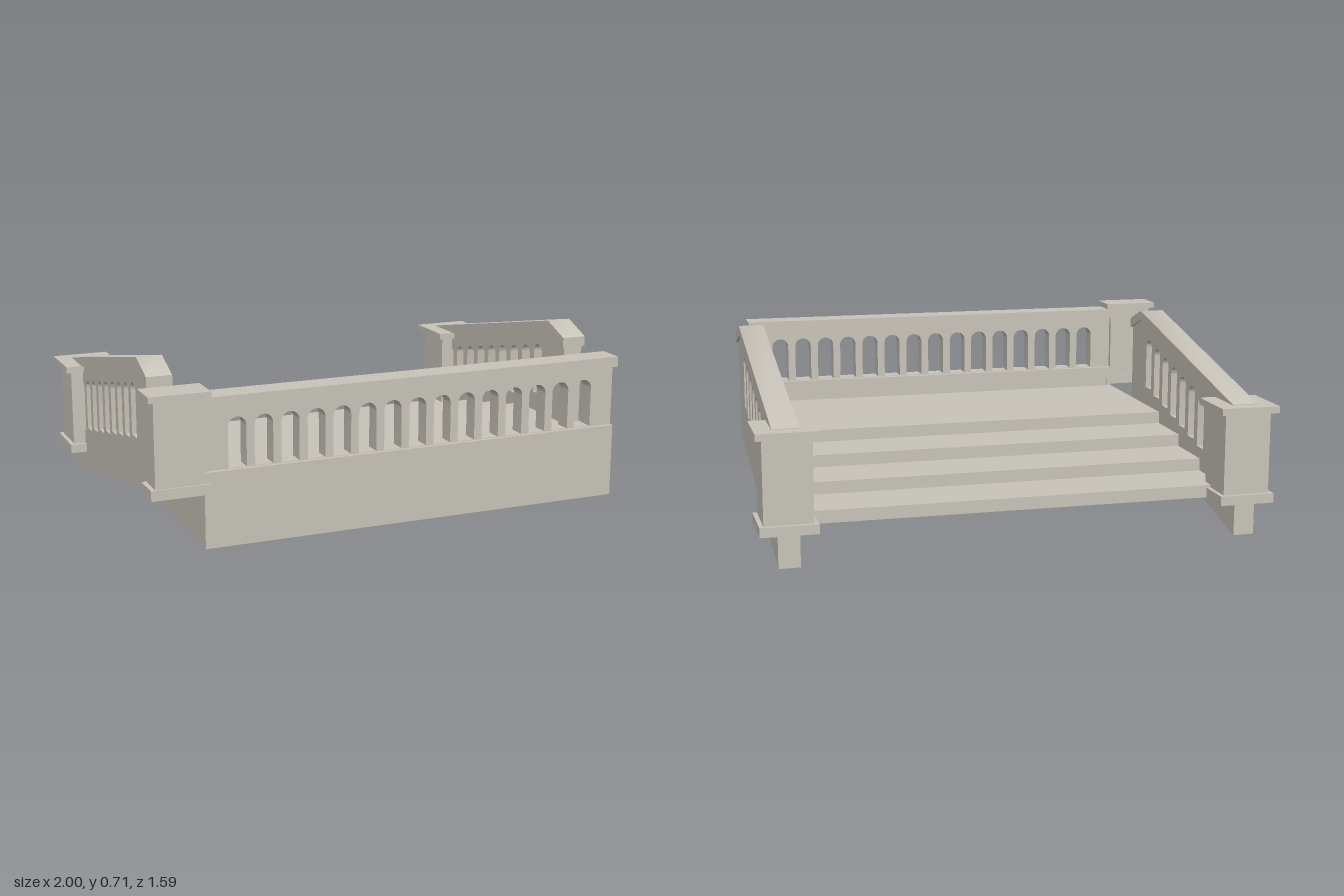
import * as THREE from 'three';
import { toCreasedNormals } from 'three/addons/utils/BufferGeometryUtils.js';

const stone = new THREE.MeshStandardMaterial({ color: 0xc8c4ba });
stone.name = 'stone';

const CENTRE = 0.018; // x of the stair's own centre line

function mesh(name, geometry) {
  const m = new THREE.Mesh(geometry, stone);
  m.name = name;
  return m;
}

// Box given by its extents on each axis
function box(name, [x0, x1], [y0, y1], [z0, z1]) {
  const m = mesh(name, new THREE.BoxGeometry(x1 - x0, y1 - y0, z1 - z0));
  m.position.set((x0 + x1) / 2, (y0 + y1) / 2, (z0 + z1) / 2);
  return m;
}

function polygon(points) {
  return new THREE.Shape(points.map(([a, b]) => new THREE.Vector2(a, b)));
}

// Round-headed opening
function arch(centre, bottom, top, width) {
  const r = width / 2;
  const path = new THREE.Path();
  path.moveTo(centre - r, bottom);
  path.lineTo(centre + r, bottom);
  path.lineTo(centre + r, top - r);
  path.absarc(centre, top - r, r, 0, Math.PI, false);
  path.lineTo(centre - r, bottom);
  return path;
}

function extrude(shape, depth) {
  const g = new THREE.ExtrudeGeometry(shape, { depth, bevelEnabled: false, curveSegments: 10 });
  g.translate(0, 0, -depth / 2);
  return toCreasedNormals(g, 0.6);
}

// Extrude a (z, y) profile along x
function extrudeAcross(shape, depth) {
  return extrude(shape, depth).rotateY(-Math.PI / 2);
}

// Square pillar with plinth and cap; each level is [y0, y1, halfX, halfZ]
function pillar(name, x, z, levels) {
  const group = new THREE.Group();
  group.name = name;
  ['plinth', 'shaft', 'cap'].forEach((part, i) => {
    const [y0, y1, hx, hz] = levels[i];
    group.add(box(part, [x - hx, x + hx], [y0, y1], [z - hz, z + hz]));
  });
  return group;
}

export function createModel() {
  const model = new THREE.Group();
  model.name = 'terraceStair';

  // Landing with steps going down to the back
  const base = 0.128, top = 0.32, rise = (top - base) / 4;
  const profile = [[0.777, base], [0.777, top]];
  for (let i = 0; i < 4; i++) {
    const z = 0.05 - 0.23 * i;
    profile.push([z, top - rise * i], [z, top - rise * (i + 1)]);
  }
  const steps = mesh('steps', extrudeAcross(polygon(profile), 1.64));
  steps.position.x = CENTRE;
  model.add(steps);

  // Front balustrade
  const front = new THREE.Group();
  front.name = 'frontBalustrade';
  front.add(box('curb', [-0.802, 0.838], [top, 0.405], [0.676, 0.777]));
  const panel = polygon([[-0.802, 0.405], [0.838, 0.405], [0.838, 0.633], [-0.802, 0.633]]);
  for (let i = 0; i < 15; i++) panel.holes.push(arch(-0.674 + 0.099 * i, 0.407, 0.59, 0.068));
  const arcade = mesh('arcade', extrude(panel, 0.064));
  arcade.position.z = 0.728;
  front.add(arcade);
  front.add(box('handrail', [-0.802, 0.85], [0.633, 0.672], [0.674, 0.777]));
  front.add(pillar('frontPillar', -0.888, 0.728, [
    [0.328, 0.366, 0.108, 0.058],
    [0.366, 0.674, 0.091, 0.051],
    [0.674, 0.697, 0.112, 0.066],
  ]));
  model.add(front);

  // Sloping side walls with arches, rails and back pillars
  const wall = polygon([
    [0.398, 0.25], [0.398, 0.635], [0.28, 0.681], [-0.755, 0.463], [-0.755, 0.005],
  ]);
  for (let i = 0; i < 9; i++) {
    wall.holes.push(arch(0.193 - 0.099 * i, 0.395 - 0.0215 * i, 0.602 - 0.0215 * i, 0.065));
  }
  const rail = polygon([
    [0.405, 0.632], [0.405, 0.671], [0.28, 0.719], [-0.732, 0.505], [-0.732, 0.466], [0.28, 0.68],
  ]);
  const wallGeometry = extrudeAcross(wall, 0.08);
  const railGeometry = extrudeAcross(rail, 0.099);

  for (const [side, sign] of [['left', 1], ['right', -1]]) {
    const x = CENTRE + sign * 0.863;
    const group = new THREE.Group();
    group.name = side + 'Balustrade';
    const sideWall = mesh('sideWall', wallGeometry);
    const sideRail = mesh('sideRail', railGeometry);
    sideWall.position.x = sideRail.position.x = x;
    group.add(sideWall, sideRail);
    group.add(pillar(side + 'BackPillar', x, -0.676, [
      [0.13, 0.166, 0.106, 0.106],
      [0.166, 0.477, 0.09, 0.09],
      [0.477, 0.503, 0.114, 0.115],
    ]));
    model.add(group);
  }

  return model;
}
